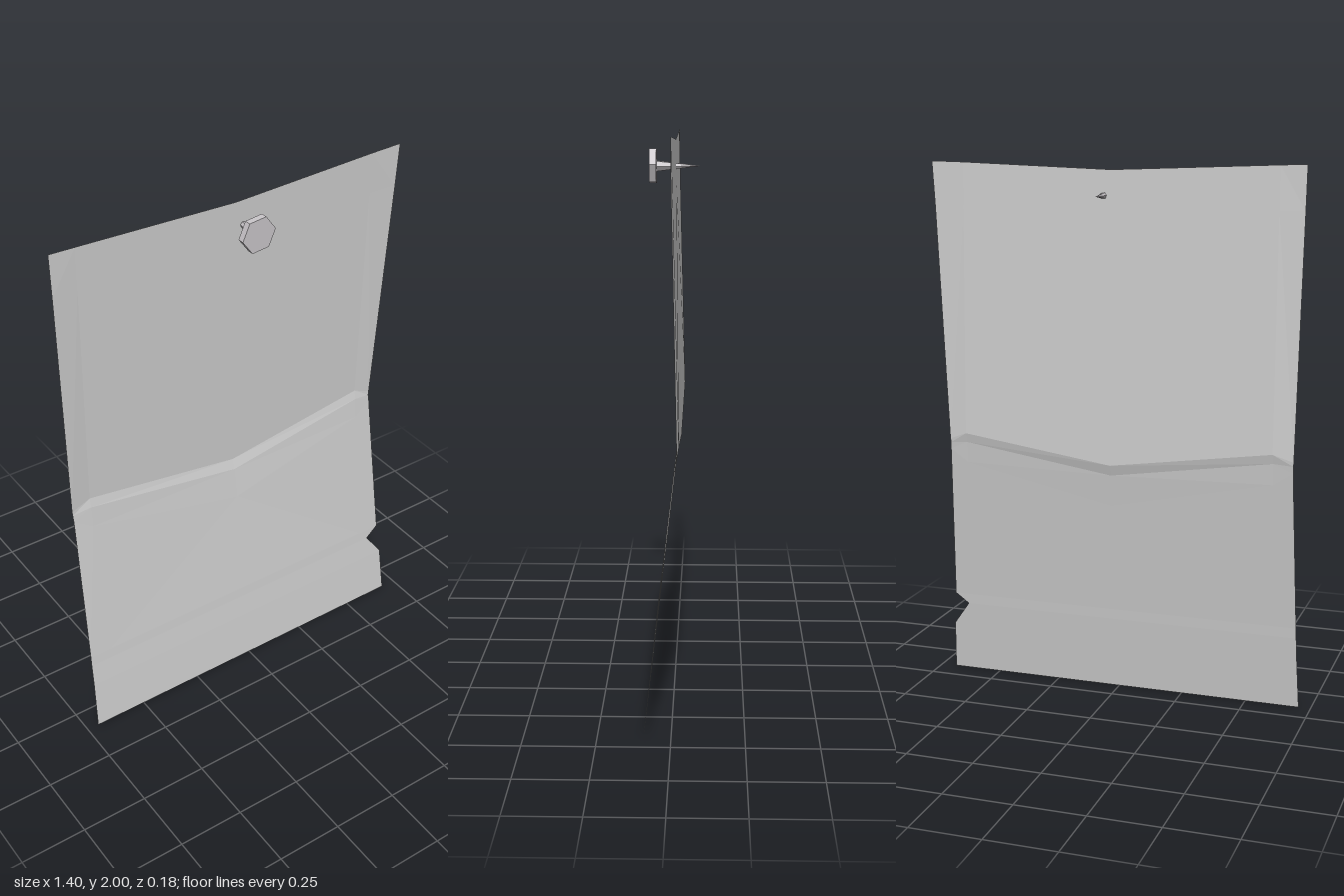
import * as THREE from 'three';

const paper = new THREE.MeshStandardMaterial({ color: 0xcccccc, side: THREE.DoubleSide, flatShading: true });
paper.name = 'paper grey';
const steel = new THREE.MeshStandardMaterial({ color: 0xc8c4c8, flatShading: true });
steel.name = 'nail grey';

// Sheet cross-sections from top to bottom:
// left x, right x, then y and z at the edge, inside the edge and at the centre
const rows = [
  [-0.705, 0.70, 2, 1.997, 1.975, 0, 0, 0],
  [-0.702, 0.69, 1.84, 1.84, 1.82, -0.001, -0.003, -0.003],
  [-0.686, 0.642, 0.96, 0.985, 0.9, -0.018, -0.024, -0.022],
  [-0.685, 0.64, 0.945, 0.95, 0.86, -0.017, -0.016, -0.01],
  [-0.684, 0.642, 0.92, 0.87, 0.74, -0.014, -0.008, 0.006],
  [-0.695, 0.667, 0.32, 0.32, 0.32, 0.056, 0.056, 0.056],
  [-0.696, 0.615, 0.28, 0.28, 0.28, 0.06, 0.06, 0.06],
  [-0.698, 0.68, 0.19, 0.19, 0.19, 0.071, 0.071, 0.071],
  [-0.705, 0.69, 0, 0, 0, 0.093, 0.093, 0.093],
];

function sheetGeometry() {
  const positions = [], index = [];
  for (const [xl, xr, ye, yi, yc, ze, zi, zc] of rows) {
    positions.push(xl, ye, ze, -0.61, yi, zi, 0, yc, zc, 0.575, yi, zi, xr, ye, ze);
  }
  for (let r = 0; r < rows.length - 1; r++) {
    for (let c = 0; c < 4; c++) {
      const a = r * 5 + c, b = a + 5;
      // mirror the diagonals about the centre line
      if (c < 2) index.push(a, b, a + 1, a + 1, b, b + 1);
      else index.push(a, b, b + 1, a, b + 1, a + 1);
    }
  }
  const g = new THREE.BufferGeometry();
  g.setAttribute('position', new THREE.Float32BufferAttribute(positions, 3));
  g.setIndex(index);
  const flat = g.toNonIndexed();
  flat.computeVertexNormals();
  return flat;
}

export function createModel() {
  const model = new THREE.Group();
  model.name = 'pinnedSheet';

  const sheet = new THREE.Mesh(sheetGeometry(), paper);
  sheet.name = 'sheet';
  model.add(sheet);

  // Nail with a six-sided head and a tapering spike through the sheet
  const nail = new THREE.Group();
  nail.name = 'nail';
  nail.position.set(0.03, 1.883, 0);
  const head = new THREE.Mesh(
    new THREE.CylinderGeometry(0.067, 0.067, 0.025, 6, 1, false, THREE.MathUtils.degToRad(96)).rotateX(Math.PI / 2), steel);
  head.name = 'nailHead';
  head.position.z = 0.08;
  const spike = new THREE.Mesh(new THREE.ConeGeometry(0.021, 0.158, 6, 1, false, THREE.MathUtils.degToRad(96)).rotateX(-Math.PI / 2), steel);
  spike.name = 'nailSpike';
  spike.position.z = -0.01;
  nail.add(head, spike);
  model.add(nail);
  return model;
}
